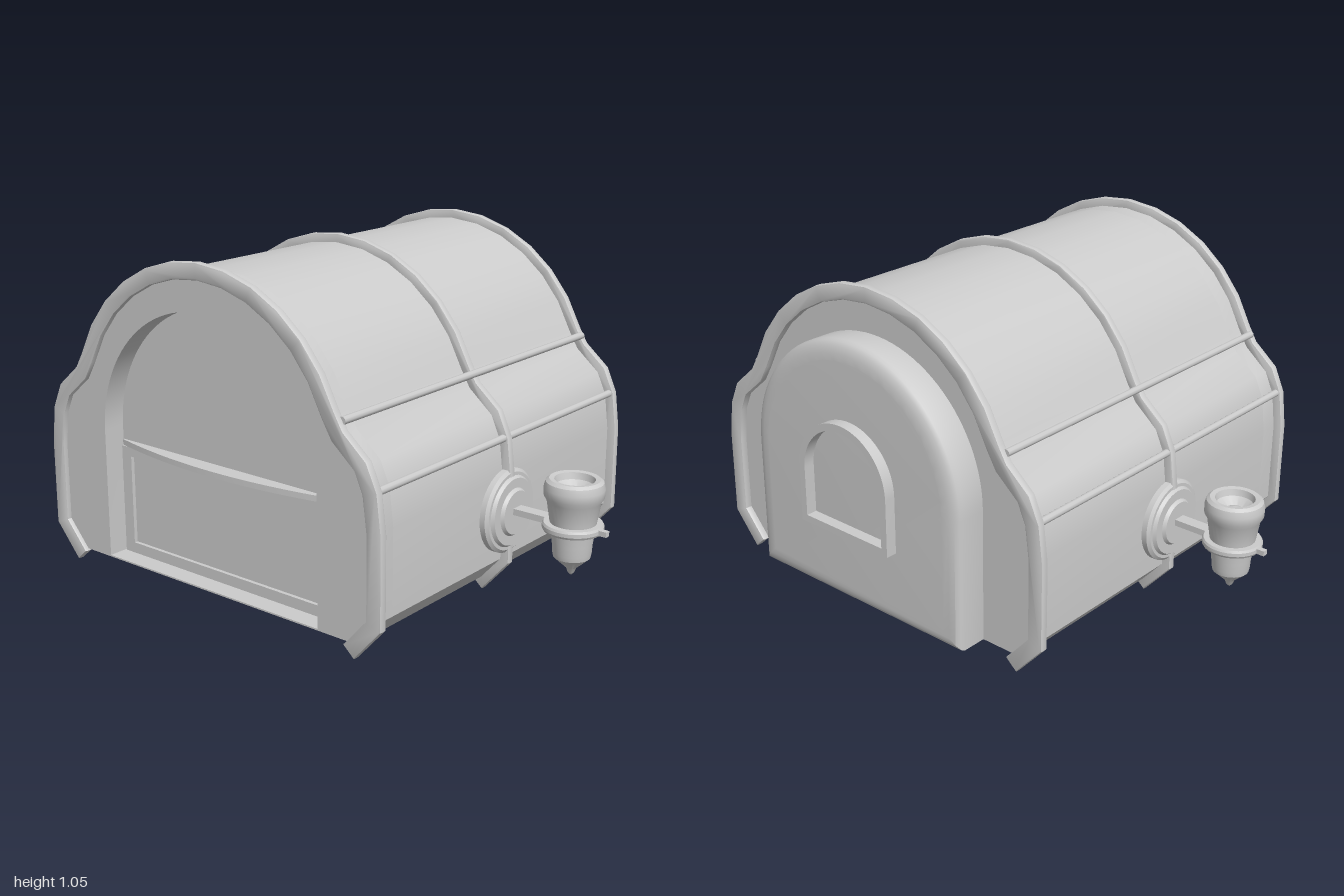
import * as THREE from 'three';
import { toCreasedNormals } from 'three/addons/utils/BufferGeometryUtils.js';

const material = new THREE.MeshStandardMaterial({ color: 0xcccccc, side: THREE.DoubleSide });
const V = (x, y) => new THREE.Vector2(x, y);

// Outer contour of the ribs as (across, up): a round roof, a waist, then bulging sides
const half = [];
for (let i = 0; i <= 6; i++) {
  const a = (i / 6) * 1.19;
  half.push(V(0.55 * Math.sin(a), 0.5 + 0.55 * Math.cos(a)));
}
half.push(V(0.54, 0.655), V(0.622, 0.585), V(0.658, 0.505), V(0.673, 0.385), V(0.673, 0.107), V(0.578, 0));
const mirrored = pts => [...pts.slice(1).reverse().map(p => V(-p.x, p.y)), ...pts];
const outline = mirrored(half);

// Shift a left-to-right contour inwards by d
function inset(pts, d) {
  const normal = (a, b) => V(b.y - a.y, a.x - b.x).normalize();
  return pts.map((p, i) => {
    const n1 = normal(pts[Math.max(i - 1, 0)], pts[Math.max(i, 1)]);
    const n2 = normal(pts[Math.min(i, pts.length - 2)], pts[Math.min(i + 1, pts.length - 1)]);
    const n = n1.clone().add(n2).normalize();
    return p.clone().addScaledVector(n, d / n.dot(n1));
  });
}

// Arch outline with a flat bottom and a semicircular top
function arch(r, bottom, spring, Type = THREE.Shape) {
  const s = new Type();
  s.moveTo(-r, bottom);
  s.lineTo(r, bottom);
  s.lineTo(r, spring);
  s.absarc(0, spring, r, 0, Math.PI, false);
  s.closePath();
  return s;
}

function add(parent, name, geometry) {
  const m = new THREE.Mesh(geometry, material);
  m.name = name;
  parent.add(m);
  return m;
}

// Extrude a cross-section along x from x0 to x1, with an optional inward bevel
function alongX(shape, x0, x1, thick = 0, size = 0, segs = 2) {
  const g = new THREE.ExtrudeGeometry(shape, {
    depth: x1 - x0 - 2 * thick, bevelEnabled: thick > 0, bevelThickness: thick,
    bevelSize: size, bevelOffset: -size, bevelSegments: segs, curveSegments: 24,
  });
  g.translate(0, 0, x0 + thick);
  g.rotateY(Math.PI / 2);
  return toCreasedNormals(g, 0.6);
}

// Lamp on a bracket, built towards +z
function buildLamp() {
  const lamp = new THREE.Group();
  lamp.name = 'lamp';

  // Stepped wall plate
  const plate = [[0, 0], [0.132, 0], [0.132, 0.018], [0.122, 0.026], [0.112, 0.026],
    [0.105, 0.036], [0.075, 0.036], [0.068, 0.046], [0, 0.046]].map(p => V(...p));
  const plateMesh = add(lamp, 'wallPlate', toCreasedNormals(new THREE.LatheGeometry(plate, 40), 0.5));
  plateMesh.rotation.x = Math.PI / 2;
  plateMesh.position.set(0, 0.275, 0.645);

  // Flat arm, ring and outer peg
  const arm = add(lamp, 'arm', new THREE.BoxGeometry(0.042, 0.02, 0.14));
  arm.position.set(0, 0.283, 0.745);
  const ring = [[0.06, 0.268], [0.087, 0.268], [0.091, 0.275], [0.091, 0.286], [0.087, 0.293], [0.06, 0.293]];
  add(lamp, 'ring', toCreasedNormals(new THREE.LatheGeometry(ring.map(p => V(...p)), 32), 0.5))
    .position.z = 0.885;
  const peg = add(lamp, 'peg', new THREE.BoxGeometry(0.018, 0.016, 0.04));
  peg.position.set(0, 0.281, 0.98);

  // Hollow-topped cup tapering to a pointed finial
  const cup = [[0, 0.125], [0.01, 0.135], [0.016, 0.15], [0.055, 0.185], [0.058, 0.2], [0.06, 0.23],
    [0.07, 0.3], [0.08, 0.36], [0.089, 0.375], [0.09, 0.4], [0.085, 0.419], [0.075, 0.427],
    [0.06, 0.425], [0.055, 0.405], [0.03, 0.385], [0.02, 0.392], [0, 0.396]];
  add(lamp, 'cup', toCreasedNormals(new THREE.LatheGeometry(cup.map(p => V(...p)), 32), 0.6))
    .position.z = 0.885;
  return lamp;
}

export function createModel() {
  const model = new THREE.Group();
  model.name = 'wagonCabin';

  // Cabin body, cut flat at the floor
  const skin = inset(outline, 0.028);
  const n = skin.length;
  for (const [end, next] of [[0, 1], [n - 1, n - 2]]) {
    const a = skin[next], b = skin[end];
    skin[end] = a.clone().lerp(b, (a.y - 0.04) / (a.y - b.y));
  }
  add(model, 'cabinBody', alongX(new THREE.Shape(skin), -0.615, 0.555));

  // Open end: shallow arched porch in front of the wall
  const porch = new THREE.Shape(skin);
  porch.holes.push(arch(0.435, 0.045, 0.465, THREE.Path));
  add(model, 'porch', alongX(porch, -0.69, -0.615));

  // Framed lower panel and bowed shelf in the porch
  const frame = new THREE.Shape([V(-0.43, 0.045), V(0.43, 0.045), V(0.43, 0.4), V(-0.43, 0.4)]);
  frame.holes.push(new THREE.Path([V(-0.39, 0.08), V(-0.39, 0.37), V(0.39, 0.37), V(0.39, 0.08)]));
  add(model, 'panelFrame', alongX(frame, -0.627, -0.612));
  const bow = new THREE.Shape();
  bow.moveTo(-0.61, -0.432);
  bow.lineTo(-0.61, 0.432);
  bow.lineTo(-0.62, 0.432);
  bow.quadraticCurveTo(-0.72, 0, -0.62, -0.432);
  const shelf = new THREE.ExtrudeGeometry(bow, { depth: 0.018, bevelEnabled: false, curveSegments: 24 });
  shelf.rotateX(Math.PI / 2);
  add(model, 'shelf', toCreasedNormals(shelf, 0.5)).position.y = 0.418;

  // Ribs
  const rib = new THREE.Shape([...outline, ...inset(outline, 0.052).reverse()]);
  for (const x of [-0.692, -0.063, 0.565]) {
    add(model, 'rib', alongX(rib, x - 0.014, x + 0.014, 0.006, 0.006, 2));
  }

  // Closed end: softened arched block and window frame
  add(model, 'endBlock', alongX(arch(0.432, 0.04, 0.467), 0.5, 0.665, 0.028, 0.06, 4));
  const windowFrame = arch(0.185, 0.285, 0.47);
  windowFrame.holes.push(arch(0.162, 0.308, 0.47, THREE.Path));
  add(model, 'windowFrame', alongX(windowFrame, 0.655, 0.702));

  // Side rails and lamps, front and back
  for (const side of [1, -1]) {
    for (const [z, y] of [[0.525, 0.68], [0.643, 0.503]]) {
      const rail = add(model, 'rail', new THREE.CylinderGeometry(0.012, 0.012, 1.25, 10));
      rail.rotation.z = Math.PI / 2;
      rail.position.set(-0.063, y, side * z);
    }
    const lamp = buildLamp();
    lamp.position.x = -0.063;
    lamp.rotation.y = side > 0 ? 0 : Math.PI;
    model.add(lamp);
  }
  return model;
}
